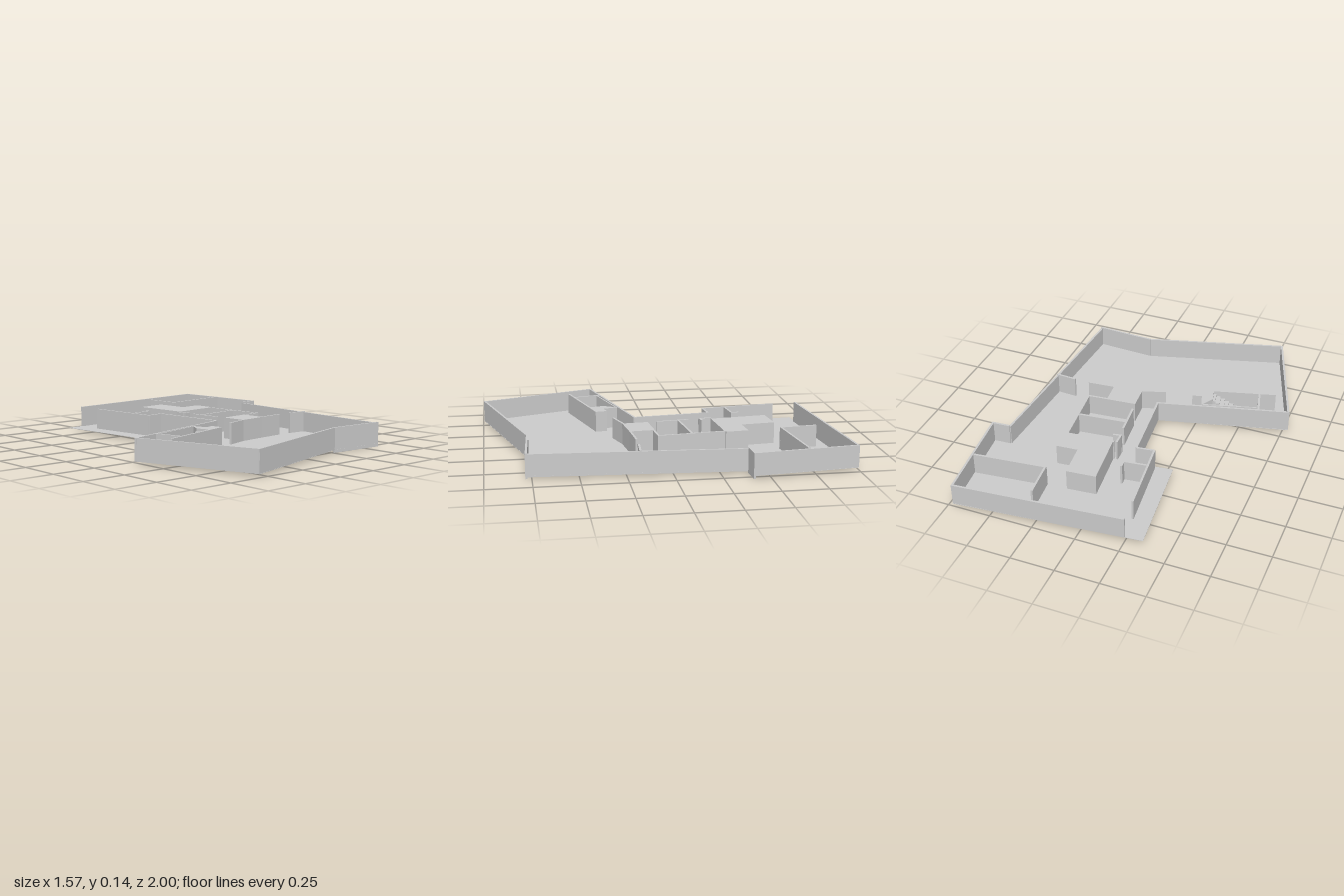
import * as THREE from 'three';

const T = 0.012, FLOOR = 0.022, TOP = 0.145;

export function createModel() {
  const group = new THREE.Group();
  const mat = new THREE.MeshStandardMaterial({ color: 0xcccccc, side: THREE.DoubleSide, flatShading: true });

  function add(name, geo) {
    const mesh = new THREE.Mesh(geo, mat);
    mesh.name = name;
    group.add(mesh);
    return mesh;
  }

  // Upright prism over a plan outline of [x, z] corners
  function prism(name, pts, y0, y1) {
    const shape = new THREE.Shape(pts.map(([x, z]) => new THREE.Vector2(x, -z)));
    const geo = new THREE.ExtrudeGeometry(shape, { depth: y1 - y0, bevelEnabled: false });
    geo.rotateX(-Math.PI / 2).translate(0, y0, 0);
    return add(name, geo);
  }

  // Straight wall slabs following a plan path, overlapping at the corners
  function walls(name, pts, y0 = FLOOR, y1 = TOP, t = T) {
    for (let i = 0; i + 1 < pts.length; i++) {
      const [ax, az] = pts[i], [bx, bz] = pts[i + 1];
      const a0 = i > 0 ? t / 2 : 0, b0 = i + 2 < pts.length ? t / 2 : 0;
      const len = Math.hypot(bx - ax, bz - az);
      const geo = new THREE.BoxGeometry(len + a0 + b0, y1 - y0, t);
      geo.translate((b0 - a0) / 2, 0, 0);
      const m = add(name, geo);
      m.position.set((ax + bx) / 2, (y0 + y1) / 2, (az + bz) / 2);
      m.rotation.y = -Math.atan2(bz - az, bx - ax);
    }
  }

  // Floor, including the open terrace at the back left of the plan
  prism('floor', [
    [-0.345, -0.90], [0.725, -1.0], [0.785, -0.41], [0.68, -0.40], [0.61, 0.785], [0.26, 0.765],
    [-0.55, 0.995], [-0.785, 0.305], [-0.03, 0.115], [-0.08, -0.315], [-0.285, -0.29],
  ], FLOOR - 0.002, FLOOR);

  // Outer walls
  walls('backOuterWall', [[-0.245, -0.905], [0.717, -0.991], [0.778, -0.412]]);
  walls('rightStepWall', [[0.784, -0.41], [0.674, -0.403]], 0.004);
  walls('rightOuterWall', [[0.674, -0.403], [0.604, 0.778]], 0.014, 0.14);
  walls('frontStepWall', [[0.61, 0.778], [0.26, 0.758]], 0.004);
  walls('wingOuterWall', [[0.26, 0.758], [-0.547, 0.986], [-0.777, 0.313], [-0.034, 0.121], [-0.077, -0.32]]);
  walls('terraceStepWall', [[-0.077, -0.325], [-0.18, -0.312]], 0.004);
  walls('terraceWall', [[-0.18, -0.312], [-0.23, -0.76]]);

  // Corner rooms and partitions
  walls('backRoomWall', [[0.30, -0.88], [0.32, -0.67], [0.737, -0.715]], FLOOR, 0.148);
  walls('terracePartition', [[-0.19, -0.45], [-0.057, -0.465], [-0.062, -0.51]], 0.004);
  walls('rightStubWall', [[0.52, 0.17], [0.645, 0.178]]);

  // Central core: two solid blocks with open rooms between
  prism('coreBlock', [[0.03, -0.645], [0.20, -0.66], [0.22, -0.465], [0.345, -0.475], [0.355, -0.345], [0.065, -0.32]], 0.015, TOP);
  prism('coreCloset', [[0.085, 0.065], [0.26, 0.052], [0.27, 0.183], [0.095, 0.203]], 0.015, TOP);
  walls('coreRoomWall', [[0.06, -0.32], [0.337, -0.345], [0.374, 0.04], [0.085, 0.065]], 0.015);
  walls('coreDivider', [[0.065, -0.122], [0.355, -0.152]], 0.015);
  walls('coreNookWall', [[0.045, -0.32], [0.047, -0.252], [0.09, -0.26]], 0.015);
  walls('coreDoorWall', [[0.06, -0.185], [0.08, 0.01]], 0.015);
  walls('coreFrontWall', [[-0.04, 0.245], [0.095, 0.203], [0.27, 0.183], [0.43, 0.17]]);

  // Service rooms in the wing
  walls('wingInnerWall', [[-0.66, 0.457], [-0.19, 0.328]]);
  walls('wingCrossWall', [[-0.607, 0.275], [-0.567, 0.428]]);
  walls('wingLiningWall', [[-0.59, 0.287], [-0.285, 0.202]], FLOOR, TOP, 0.008);
  prism('wingBlock', [[-0.28, 0.195], [-0.255, 0.28], [-0.20, 0.265], [-0.19, 0.328], [-0.305, 0.357], [-0.325, 0.275]], FLOOR, TOP);

  // Stair climbing towards the wing block
  const steps = 7;
  for (let i = 0; i < steps; i++) {
    const x0 = -0.49 + i * 0.025, x1 = x0 + 0.025;
    const z = (x, o) => 0.32 - (x + 0.49) * 0.27 + o;
    prism('stairStep', [[x0, z(x0, 0)], [x1, z(x1, 0)], [x1 + 0.018, z(x1, 0.075)], [x0 + 0.018, z(x0, 0.075)]],
      FLOOR, FLOOR + (TOP - FLOOR) * (i + 1) / (steps + 1));
  }
  return group;
}
